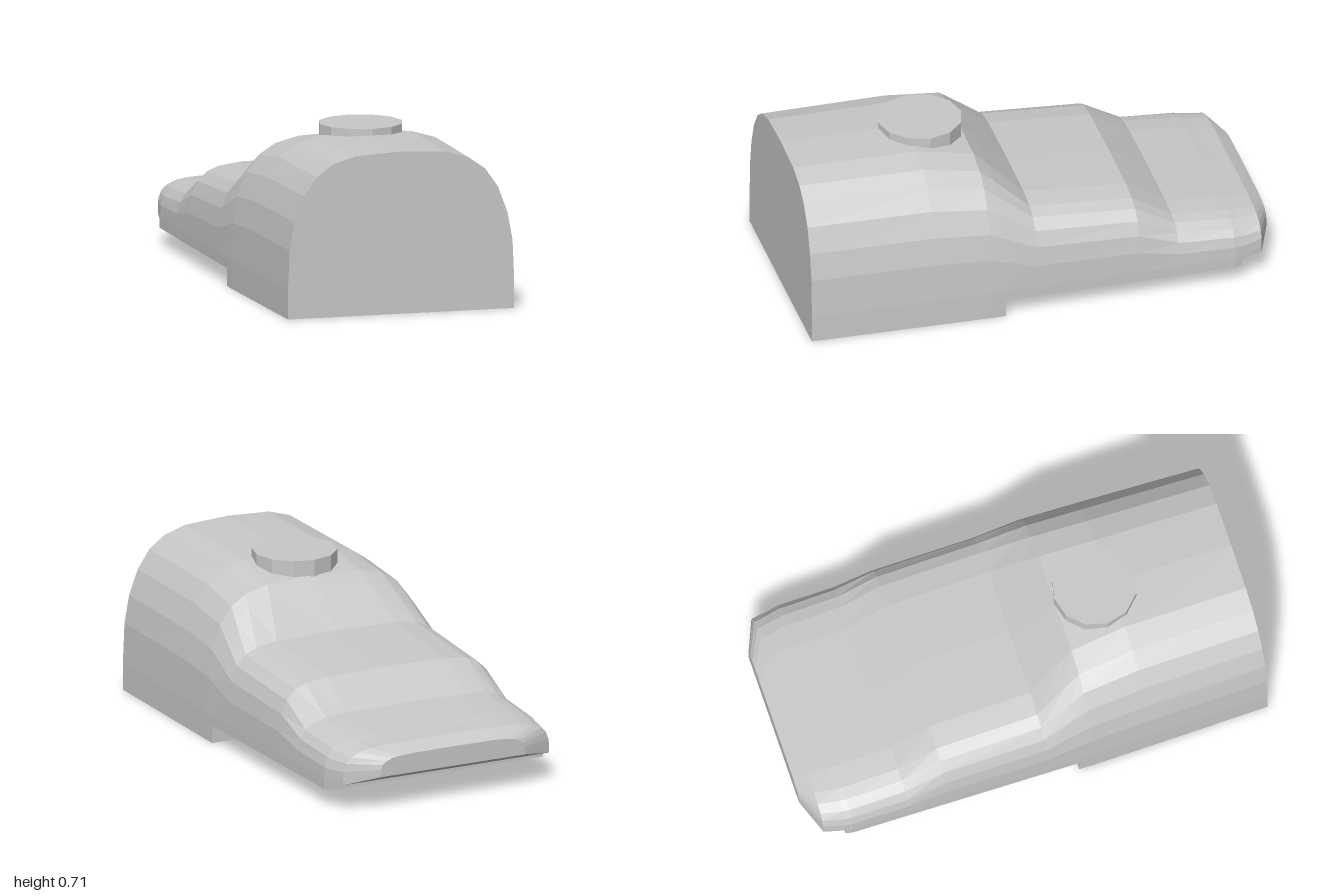
import * as THREE from 'three';

const grey = new THREE.MeshStandardMaterial({ color: 0xc8c8c8, flatShading: true });
grey.name = 'plainGrey';

// Half arch as [share of half width, share of height]: round at the front, squarer at the rear
const ROUND = [[1, 0], [0.985, 0.3], [0.94, 0.51], [0.857, 0.7], [0.745, 0.84], [0.6, 0.93], [0.4, 0.982], [0, 1]];
const SQUARE = [[1, 0], [0.995, 0.3], [0.97, 0.55], [0.92, 0.74], [0.84, 0.87], [0.74, 0.94], [0.55, 0.985], [0, 1]];

// Cross-sections from front to rear: z, half width, floor, spring of the arch, top, squareness
const SECTIONS = [
  [1.0, 0.49, 0, 0.12, 0.685, 0],
  [0.47, 0.504, 0, 0.12, 0.68, 0],
  [0.23, 0.51, 0, 0.12, 0.64, 0.2],
  [0.17, 0.51, 0, 0.12, 0.585, 0.44],
  [0.17, 0.51, 0.075, 0.12, 0.585, 0.44],
  [0.03, 0.51, 0.075, 0.12, 0.455, 1],
  [-0.41, 0.51, 0.075, 0.12, 0.42, 1],
  [-0.58, 0.51, 0.075, 0.12, 0.31, 1],
  [-0.82, 0.51, 0.075, 0.12, 0.285, 1],
  [-0.85, 0.504, 0.075, 0.12, 0.28, 1],
  [-0.85, 0.504, 0.11, 0.12, 0.28, 1],
  [-0.94, 0.485, 0.12, 0.14, 0.27, 1],
  [-1.0, 0.34, 0.15, 0.16, 0.235, 1],
];

function makeRing([z, w, floor, spring, top, square]) {
  const half = ROUND.map(([u, v], i) => new THREE.Vector3(
    w * THREE.MathUtils.lerp(u, SQUARE[i][0], square),
    spring + (top - spring) * THREE.MathUtils.lerp(v, SQUARE[i][1], square),
    z,
  ));
  half.unshift(new THREE.Vector3(w, floor, z));
  const mirrored = half.slice(0, -1).reverse().map((p) => new THREE.Vector3(-p.x, p.y, z));
  return [...half, ...mirrored];
}

function loft(rings) {
  const positions = [];
  const triangle = (a, b, c) => {
    if (new THREE.Triangle(a, b, c).getArea() < 1e-7) return;
    for (const p of [a, b, c]) positions.push(p.x, p.y, p.z);
  };
  const n = rings[0].length;
  // Skin, including the floor and its steps
  for (let i = 0; i < rings.length - 1; i++) {
    for (let j = 0; j < n; j++) {
      const k = (j + 1) % n;
      const a = rings[i][j], b = rings[i][k], c = rings[i + 1][k], d = rings[i + 1][j];
      triangle(a, d, c);
      triangle(a, c, b);
    }
  }
  // End faces
  const front = rings[0], rear = rings[rings.length - 1];
  for (let j = 1; j < n - 1; j++) {
    triangle(front[0], front[j], front[j + 1]);
    triangle(rear[0], rear[j + 1], rear[j]);
  }
  const geometry = new THREE.BufferGeometry();
  geometry.setAttribute('position', new THREE.Float32BufferAttribute(positions, 3));
  geometry.computeVertexNormals();
  return geometry;
}

export function createModel() {
  const model = new THREE.Group();
  model.name = 'steppedHousing';

  const body = new THREE.Mesh(loft(SECTIONS.map(makeRing)), grey);
  body.name = 'body';
  model.add(body);

  // Round cap set into the roof
  const cap = new THREE.Mesh(new THREE.CylinderGeometry(0.178, 0.178, 0.15, 12), grey);
  cap.name = 'roofCap';
  cap.position.set(0, 0.633, 0.402);
  model.add(cap);

  return model;
}
